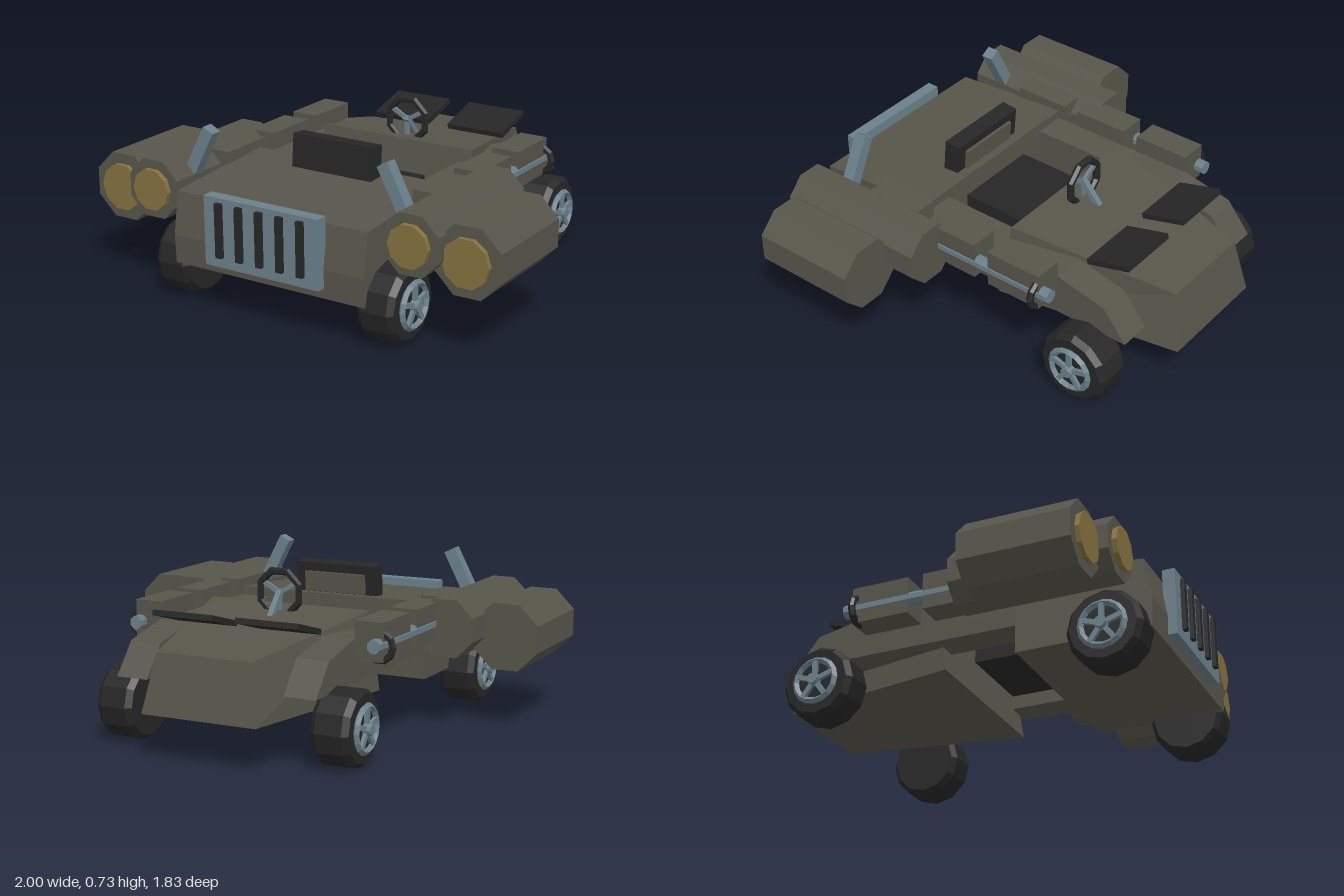
import * as THREE from 'three';

const mat = (name, color) => {
  const m = new THREE.MeshStandardMaterial({ color, flatShading: true });
  m.name = name;
  return m;
};

export function createModel() {
  const olive = mat('olive', 0x57554a);
  const steel = mat('blue steel', 0x6a808a);
  const black = mat('black', 0x262627);
  const amber = mat('amber', 0x84713f);
  const model = new THREE.Group();

  const add = (name, geo, material, x = 0, y = 0, z = 0, parent = model) => {
    const mesh = new THREE.Mesh(geo, material);
    mesh.name = name;
    mesh.position.set(x, y, z);
    parent.add(mesh);
    return mesh;
  };
  const box = (w, h, d) => new THREE.BoxGeometry(w, h, d);

  // Side profile of [z, y] points given a width along x
  const profile = (points, width) => {
    const shape = new THREE.Shape(points.map(([z, y]) => new THREE.Vector2(z, y)));
    return new THREE.ExtrudeGeometry(shape, { depth: width, bevelEnabled: false })
      .rotateY(-Math.PI / 2).translate(width / 2, 0, 0);
  };
  // Prism along z, with flats facing up and sideways
  const prism = (apothem, length, sides = 8) =>
    new THREE.CylinderGeometry(apothem / Math.cos(Math.PI / sides), apothem / Math.cos(Math.PI / sides), length, sides)
      .rotateY(Math.PI / sides).rotateX(Math.PI / 2);

  // Nose block with sloping hood
  add('frontHull', profile([[0.26, 0.18], [0.855, 0.18], [0.86, 0.305], [0.83, 0.49], [0.26, 0.53]], 0.94), olive);

  // Grille with upright slots
  add('grille', box(0.56, 0.3, 0.055), steel, 0, 0.375, 0.87);
  for (let i = -2; i <= 2; i++) add('grilleSlot', box(0.03, 0.235, 0.02), black, i * 0.1, 0.388, 0.906);

  // Tail body: a box whose corners are moved to a tapered wedge
  const tail = box(1, 1, 1);
  const p = tail.attributes.position;
  for (let i = 0; i < p.count; i++) {
    const side = Math.sign(p.getX(i)), top = p.getY(i) > 0, front = p.getZ(i) > 0;
    if (front) p.setXYZ(i, side * (top ? 0.385 : 0.41), top ? 0.55 : 0.195, top ? -0.14 : -0.088);
    else p.setXYZ(i, side * (top ? 0.22 : 0.265), top ? 0.447 : 0.195, top ? -0.865 : -0.918);
  }
  tail.computeVertexNormals();
  add('tailBody', tail, olive);

  // Seat, backrest and its rear panel
  add('seat', box(0.4, 0.12, 0.32), black, 0, 0.37, 0.11);
  const back = new THREE.Group();
  back.name = 'backrest';
  back.position.set(0, 0.575, 0.345);
  back.rotation.x = -0.09;
  model.add(back);
  add('backrestPad', box(0.4, 0.18, 0.075), black, 0, 0, 0, back);
  add('backrestPanel', box(0.3, 0.09, 0.02), olive, 0, 0.005, -0.042, back);

  // Steering wheel, spokes and column
  const steering = new THREE.Group();
  steering.name = 'steering';
  steering.position.set(0, 0.61, -0.23);
  model.add(steering);
  add('steeringRim', new THREE.TorusGeometry(0.1, 0.017, 6, 8).rotateZ(Math.PI / 8), black, 0, 0, 0, steering);
  for (let i = 0; i < 3; i++) {
    const a = Math.PI / 2 + i * Math.PI * 2 / 3 + Math.PI;
    add('steeringSpoke', box(0.095, 0.02, 0.014).translate(0.048, 0, 0).rotateZ(a), steel, 0, 0, 0, steering);
  }
  add('steeringColumn', box(0.025, 0.025, 0.16).rotateX(-0.85), steel, 0, -0.05, -0.045, steering);

  // Wheel, built with its axis along +x and its face outward
  const tyreProfile = [[0.1, -0.085], [0.145, -0.085], [0.165, -0.06], [0.165, 0.06], [0.145, 0.085], [0.105, 0.085]]
    .map(([r, y]) => new THREE.Vector2(r, y));
  const makeWheel = () => {
    const wheel = new THREE.Group();
    wheel.name = 'wheel';
    add('tyre', new THREE.LatheGeometry(tyreProfile, 12).rotateZ(-Math.PI / 2), black, 0, 0, 0, wheel);
    add('wheelCore', new THREE.CylinderGeometry(0.11, 0.11, 0.165, 12).rotateZ(-Math.PI / 2), black, 0, 0, 0, wheel);
    add('rim', new THREE.TorusGeometry(0.093, 0.015, 4, 16).rotateY(Math.PI / 2), steel, 0.092, 0, 0, wheel);
    for (let i = 0; i < 5; i++) {
      const spoke = box(0.016, 0.09, 0.022).translate(0, 0.045, 0).rotateX(i * Math.PI * 2 / 5);
      add('spoke', spoke, steel, 0.096, 0, 0, wheel);
    }
    add('hub', new THREE.CylinderGeometry(0.024, 0.028, 0.035, 10).rotateZ(-Math.PI / 2), steel, 0.104, 0, 0, wheel);
    return wheel;
  };

  const railProfile = [[0.3, 0.305], [0.3, 0.49], [-0.45, 0.49], [-0.68, 0.44], [-0.79, 0.305]];

  for (const s of [1, -1]) {
    // Wheels
    for (const z of [0.69, -0.61]) {
      const wheel = makeWheel();
      wheel.position.set(s * 0.505, 0.165, z);
      if (s < 0) wheel.rotation.y = Math.PI;
      model.add(wheel);
    }

    // Side rail running back to the rear wheels
    add('sideRail', profile(railProfile, 0.145), olive, s * 0.393);

    // Engine pods with glowing nozzles
    add('innerPod', prism(0.127, 0.7), olive, s * 0.635, 0.456, 0.437);
    add('innerNozzle', prism(0.088, 0.03, 10), amber, s * 0.635, 0.456, 0.795);
    add('outerPod', prism(0.146, 0.482), olive, s * 0.853, 0.41, 0.483);
    add('outerNozzle', prism(0.1, 0.03, 10), amber, s * 0.853, 0.41, 0.73);

    // Side blocks threaded on a bar
    for (const z of [-0.313, 0.022, 0.355]) add('sideBlock', box(0.13, 0.165, 0.265), olive, s * 0.528, 0.484, z);
    add('sideBar', prism(0.028, 0.78, 8), steel, s * 0.568, 0.472, -0.1);
    add('barRing', new THREE.TorusGeometry(0.058, 0.016, 6, 10), black, s * 0.57, 0.464, -0.43);

    // Leaning exhaust stack
    add('exhaustStack', box(0.055, 0.27, 0.055).rotateZ(s * 0.48), steel, s * 0.493, 0.595, 0.64);

    // Raised flap over the tail
    add('tailFlap', box(0.286, 0.024, 0.212).rotateX(0.27), black, s * 0.197, 0.545, -0.605);
  }
  return model;
}
